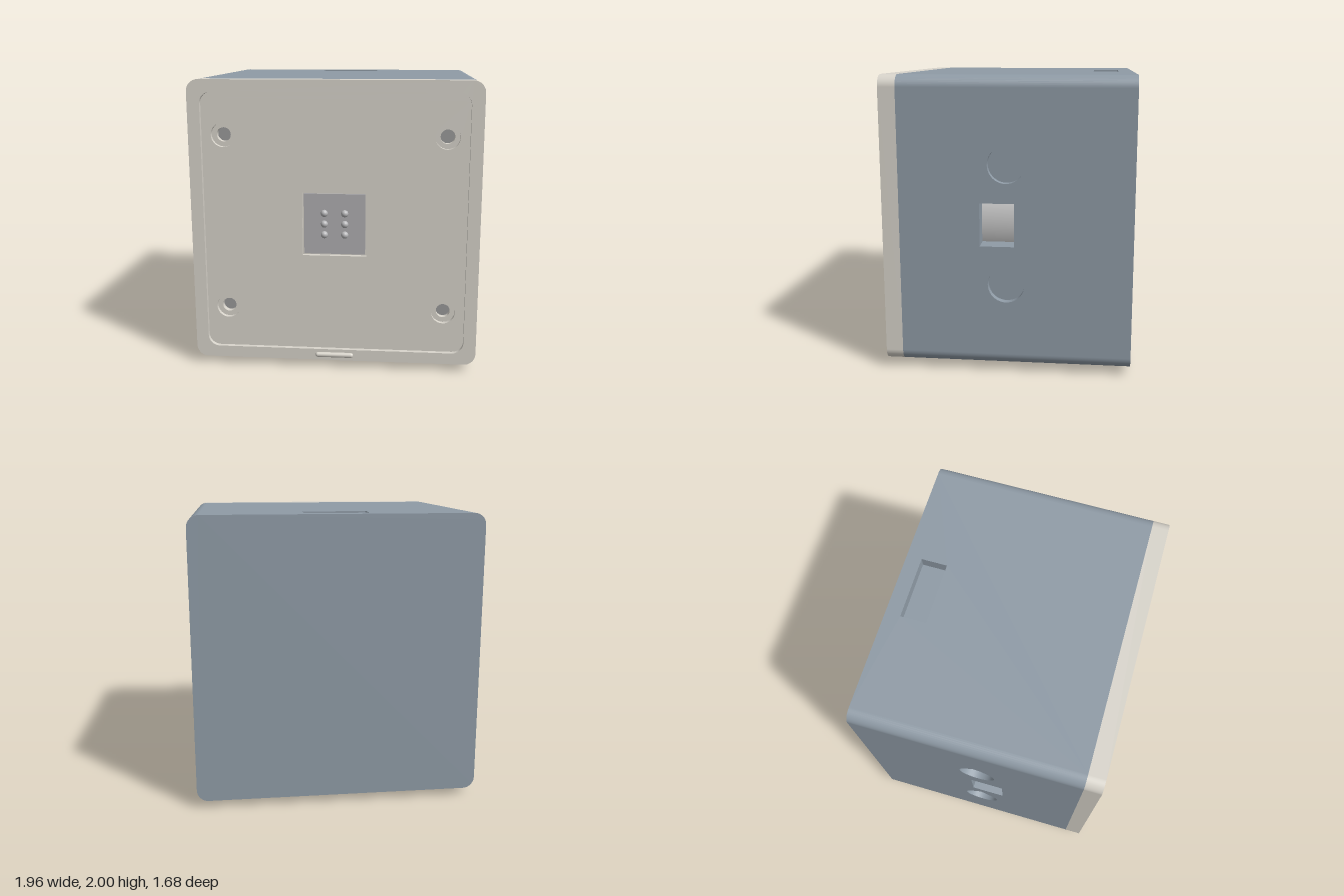
import * as THREE from 'three';
import { mergeGeometries } from 'three/addons/utils/BufferGeometryUtils.js';

const V = (x, y) => new THREE.Vector2(x, y);
const BODY = 0x8f9ba6, LID = 0xd8d4cb;
const BACK = -0.84, SEAM = 0.71, FRONT = 0.825;
const LONG = 0.1; // edges longer than this stay flat

// ---- outlines (counter-clockwise point loops) ----
function arc(cx, cy, r, a0, a1, n) {
  return Array.from({ length: n + 1 }, (_, i) => {
    const a = a0 + (a1 - a0) * i / n;
    return V(cx + r * Math.cos(a), cy + r * Math.sin(a));
  });
}
const circle = (cx, cy, r) => arc(cx, cy, r, 0, Math.PI * 2, 32).slice(0, -1);
const rect = (x0, y0, x1, y1) => [V(x0, y0), V(x1, y0), V(x1, y1), V(x0, y1)];
function roundRect(x0, y0, x1, y1, r) {
  const q = Math.PI / 2;
  return [[x1 - r, y0 + r, -q], [x1 - r, y1 - r, 0], [x0 + r, y1 - r, q], [x0 + r, y0 + r, 2 * q]]
    .flatMap(([x, y, a]) => arc(x, y, r, a, a + q, 10));
}
const teardrop = (cx, cy, r) =>
  [...arc(cx, cy, r, Math.PI * 0.75, Math.PI * 2.25, 30), V(cx, cy + r * Math.SQRT2)];

// ---- surfaces ----
function surface(position, normal) {
  const g = new THREE.BufferGeometry();
  g.setAttribute('position', new THREE.Float32BufferAttribute(position, 3));
  g.setAttribute('normal', new THREE.Float32BufferAttribute(normal, 3));
  return g;
}

// Flat sheet facing +z, with openings
function sheet(outline, holes, z) {
  const all = [...outline, ...holes.flat()], pos = [], nor = [];
  for (const tri of THREE.ShapeUtils.triangulateShape(outline, holes)) {
    for (const i of tri) { pos.push(all[i].x, all[i].y, z); nor.push(0, 0, 1); }
  }
  return surface(pos, nor);
}

// Wall along an outline: faces outward going up (z0 < z1), inward going down
function wall(pts, z0, z1, skipLong = false) {
  const n = pts.length, s = Math.sign(z1 - z0), pos = [], nor = [];
  const edges = pts.map((p, i) => pts[(i + 1) % n].clone().sub(p));
  const out = edges.map(e => V(e.y, -e.x).normalize().multiplyScalar(s));
  const blend = (i, j) => {
    if (edges[i].length() > LONG || out[i].dot(out[j]) < 0.85) return out[i];
    return edges[j].length() > LONG ? out[j] : out[i].clone().add(out[j]).normalize();
  };
  for (let i = 0; i < n; i++) {
    if (skipLong && edges[i].length() > LONG) continue;
    const a = pts[i], b = pts[(i + 1) % n];
    const na = blend(i, (i + n - 1) % n), nb = blend(i, (i + 1) % n);
    for (const [p, m, z] of [[a, na, z0], [b, nb, z0], [b, nb, z1], [a, na, z0], [b, nb, z1], [a, na, z1]]) {
      pos.push(p.x, p.y, z);
      nor.push(m.x, m.y, 0);
    }
  }
  return surface(pos, nor);
}

// Sheet with sunken pockets, each { pts, depth, open }
function pocketed(outline, pockets, z) {
  return mergeGeometries([
    sheet(outline, pockets.map(p => p.pts), z),
    ...pockets.map(p => wall(p.pts, z, z - p.depth)),
    ...pockets.filter(p => !p.open).map(p => sheet(p.pts, [], z - p.depth)),
  ]);
}

export function createModel() {
  const model = new THREE.Group();
  const add = (name, geo, color, x = 0, y = 0, z = 0) => {
    const mesh = new THREE.Mesh(geo, new THREE.MeshStandardMaterial({ color }));
    mesh.name = name;
    mesh.position.set(x, y, z);
    model.add(mesh);
    return mesh;
  };
  const outline = roundRect(-0.98, 0.05, 0.98, 2, 0.08);

  // Housing: rounded edges, back, and four pocketed faces
  const parts = [wall(outline, BACK, SEAM, true), sheet(outline, [], -BACK).rotateY(Math.PI)];
  for (const s of [1, -1]) {
    const span = (z0, z1, y0, y1) => {
      const [a, b] = [-s * z0, -s * z1].sort((p, q) => p - q);
      return rect(a, y0, b, y1);
    };
    parts.push(pocketed(span(BACK, SEAM, 0.13, 1.92), [
      { pts: teardrop(s * 0.005, 1.425, 0.123), depth: 0.05 },
      { pts: teardrop(s * 0.005, 0.62, 0.123), depth: 0.05 },
      { pts: span(-0.06, 0.17, 0.88, 1.17), depth: 0.14, open: true },
    ], 0.98).rotateY(s * Math.PI / 2));
  }
  // Top face with slot
  parts.push(pocketed(rect(-0.9, -SEAM, 0.9, -BACK),
    [{ pts: rect(-0.22, 0.555, 0.22, 0.735), depth: 0.08 }], 2).rotateX(-Math.PI / 2));
  // Bottom face with engraved arrow pointing forward
  const arrow = [V(0, 0.46), V(0.25, 0.24), V(0.25, 0.36), V(0, 0.59), V(-0.25, 0.36), V(-0.25, 0.24)];
  parts.push(pocketed(rect(-0.9, BACK, 0.9, SEAM),
    [{ pts: arrow, depth: 0.04 }], -0.05).rotateX(Math.PI / 2));
  add('housing', mergeGeometries(parts), BODY);

  // Rollers seen through the side windows
  for (const s of [1, -1]) {
    for (const z of [-0.08, 0.12]) {
      add('roller', new THREE.CylinderGeometry(0.4, 0.4, 0.2, 64).rotateX(Math.PI / 2),
        0xcccccc, s * 0.47, 1.025, z);
    }
  }

  // Wedge foot under the back edge
  const wedge = new THREE.Shape([V(-0.047, 0.05), V(0, 0), V(0.047, 0.05)]);
  add('foot', new THREE.ExtrudeGeometry(wedge, { depth: 0.58, bevelEnabled: false })
    .translate(0, 0, -0.29).rotateY(Math.PI / 2), BODY, 0, 0, -0.7);

  // Lid: raised rim, sunken plate, counterbored screw holes, square window
  const recess = roundRect(-0.895, 0.13, 0.895, 1.92, 0.08);
  const plate = FRONT - 0.03, bore = plate - 0.03, pit = bore - 0.04;
  const corners = [-0.75, 0.75].flatMap(x => [0.42, 1.63].map(y => [x, y]));
  const lid = [
    wall(outline, SEAM, FRONT),
    pocketed(outline, [{ pts: recess, depth: 0.03, open: true }], FRONT),
    pocketed(recess, [
      ...corners.map(([x, y]) => ({ pts: circle(x, y, 0.082), depth: 0.03, open: true })),
      { pts: rect(-0.22, 0.805, 0.22, 1.245), depth: 0.03 },
    ], plate),
    ...corners.map(([x, y]) => pocketed(circle(x, y, 0.082),
      [{ pts: circle(x, y, 0.048), depth: 0.04, open: true }], bore)),
  ];
  add('lid', mergeGeometries(lid), LID);
  for (const [x, y] of corners) add('screw', new THREE.CircleGeometry(0.048, 32), 0x9a9a9a, x, y, pit);

  // Touch panel with six raised dots
  add('panel', new THREE.BoxGeometry(0.42, 0.42, 0.02), 0xb0afb1, 0, 1.025, plate - 0.025);
  for (const x of [-0.07, 0.07]) {
    for (const y of [0.95, 1.025, 1.1]) {
      add('dot', new THREE.SphereGeometry(0.025, 20, 14), 0xb8b8ba, x, y, plate - 0.015);
    }
  }

  // Thumb ridge on the lower rim
  add('ridge', new THREE.CapsuleGeometry(0.018, 0.23, 8, 20).rotateZ(Math.PI / 2), LID, 0, 0.09, FRONT);
  return model;
}
